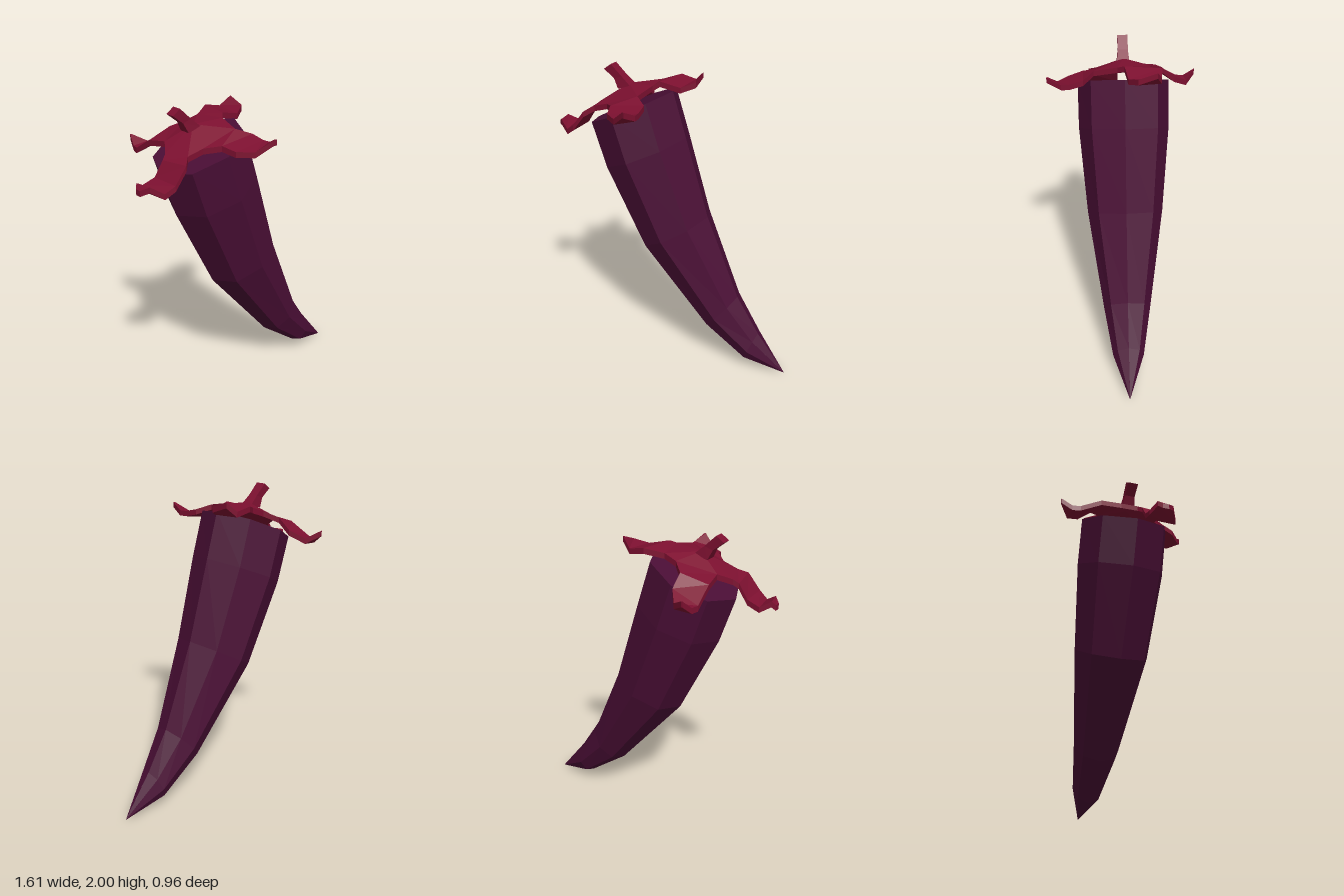
import * as THREE from 'three';

const material = (color) =>
  new THREE.MeshStandardMaterial({ color, flatShading: true, roughness: 0.8 });

function makeMesh(name, points, index, color) {
  const indexed = new THREE.BufferGeometry().setFromPoints(points);
  indexed.setIndex(index);
  const geometry = indexed.toNonIndexed();
  geometry.computeVertexNormals();
  const mesh = new THREE.Mesh(geometry, material(color));
  mesh.name = name;
  return mesh;
}

// Loft closed rings from top to bottom. Each section gives the left and right
// extreme points in the xy plane and the half depth in z.
function loft(name, sections, sides, phase, color) {
  const points = [], index = [];
  const stretch = 1 / Math.cos(phase);
  for (const [lx, ly, rx, ry, depth] of sections) {
    for (let j = 0; j < sides; j++) {
      const a = phase + (j / sides) * Math.PI * 2;
      const c = (Math.cos(a) * stretch) / 2, s = Math.sin(a) * stretch;
      points.push(new THREE.Vector3(
        (lx + rx) / 2 + (rx - lx) * c, (ly + ry) / 2 + (ry - ly) * c, depth * s));
    }
  }
  const last = (sections.length - 1) * sides;
  for (let j = 0; j < sides; j++) {
    const k = (j + 1) % sides;
    for (let i = 0; i < last; i += sides) {
      index.push(i + j, i + k, i + sides + j, i + k, i + sides + k, i + sides + j);
    }
    if (j > 0 && j < sides - 1) {
      index.push(0, k, j, last, last + j, last + k); // end caps
    }
  }
  return makeMesh(name, points, index, color);
}

// Thicken an upward facing sheet and close its rim along the open edges.
function thicken(name, top, faces, thickness, color) {
  const n = top.length;
  const points = [...top, ...top.map((p) => p.clone().setY(p.y - thickness))];
  const index = [], edges = new Set();
  for (const [a, b, c] of faces) {
    index.push(a, b, c, n + a, n + c, n + b);
    for (const [p, q] of [[a, b], [b, c], [c, a]]) edges.add(p + ',' + q);
  }
  for (const edge of edges) {
    const [p, q] = edge.split(',').map(Number);
    if (!edges.has(q + ',' + p)) index.push(p, n + p, q, q, n + p, n + q);
  }
  return makeMesh(name, points, index, color);
}

function createCalyx(color) {
  // Centre, then a ring of leaf bases (two points per leaf)
  const top = [
    [-0.35, 1.885, 0],
    [-0.5, 1.79, -0.08], [-0.28, 1.86, -0.18],
    [-0.195, 1.89, -0.165], [-0.16, 1.9, 0.04],
    [-0.185, 1.87, 0.19], [-0.41, 1.79, 0.18],
    [-0.51, 1.76, 0.17], [-0.56, 1.745, 0.01],
  ].map((p) => new THREE.Vector3(...p));
  // Each leaf: pairs of edge points from base to tip
  const leaves = [
    // back
    [[[-0.52, 1.77, -0.22], [-0.35, 1.82, -0.25]],
      [[-0.53, 1.69, -0.36], [-0.35, 1.75, -0.335]],
      [[-0.52, 1.69, -0.41], [-0.41, 1.7, -0.42]],
      [[-0.5, 1.745, -0.48], [-0.49, 1.745, -0.48]]],
    // right hand side
    [[[-0.09, 1.92, -0.23], [-0.13, 1.92, 0]],
      [[0.015, 1.9, -0.22], [0, 1.89, -0.02]],
      [[0.08, 1.96, -0.19], [0.08, 1.92, -0.075]]],
    // front
    [[[-0.105, 1.84, 0.255], [-0.335, 1.81, 0.26]],
      [[-0.095, 1.82, 0.34], [-0.305, 1.79, 0.35]],
      [[-0.09, 1.82, 0.39], [-0.22, 1.79, 0.42]],
      [[-0.115, 1.86, 0.48], [-0.125, 1.86, 0.475]]],
    // left hand side
    [[[-0.56, 1.73, 0.225], [-0.59, 1.72, 0.03]],
      [[-0.64, 1.63, 0.23], [-0.65, 1.63, 0.03]],
      [[-0.7, 1.59, 0.21], [-0.73, 1.6, 0.025]],
      [[-0.77, 1.635, 0.17], [-0.79, 1.635, 0.06]],
      [[-0.81, 1.61, 0.125], [-0.81, 1.61, 0.085]]],
  ];
  const faces = [];
  for (let i = 1; i <= 8; i++) faces.push([0, (i % 8) + 1, i]);
  leaves.forEach((pairs, k) => {
    let l = 1 + 2 * k, r = l + 1;
    for (const [left, right] of pairs) {
      const nl = top.length, nr = nl + 1;
      top.push(new THREE.Vector3(...left), new THREE.Vector3(...right));
      faces.push([l, r, nr], [l, nr, nl]);
      l = nl;
      r = nr;
    }
  });
  return thicken('calyx', top, faces, 0.035, color);
}

export function createModel() {
  const model = new THREE.Group();
  model.name = 'pepper';
  const flesh = 0x4a0e35, leaf = 0x7d1030;

  // Curved, tapering eight-sided fruit
  model.add(loft('fruit', [
    [-0.59, 1.63, -0.04, 1.87, 0.295],
    [-0.49, 1.34, 0.05, 1.58, 0.295],
    [-0.225, 0.81, 0.21, 1.06, 0.25],
    [0.235, 0.27, 0.44, 0.51, 0.156],
    [0.52, 0.06, 0.6, 0.26, 0.102],
    [0.799, 0, 0.801, 0.004, 0.001],
  ], 8, 0, flesh));

  // Four-leaved cap
  model.add(createCalyx(leaf));

  // Bent square stem
  model.add(loft('stem', [
    [-0.51, 1.965, -0.46, 2.0, 0.034],
    [-0.44, 1.91, -0.385, 1.93, 0.032],
    [-0.41, 1.85, -0.32, 1.875, 0.04],
  ], 4, Math.PI / 4, leaf));

  return model;
}
